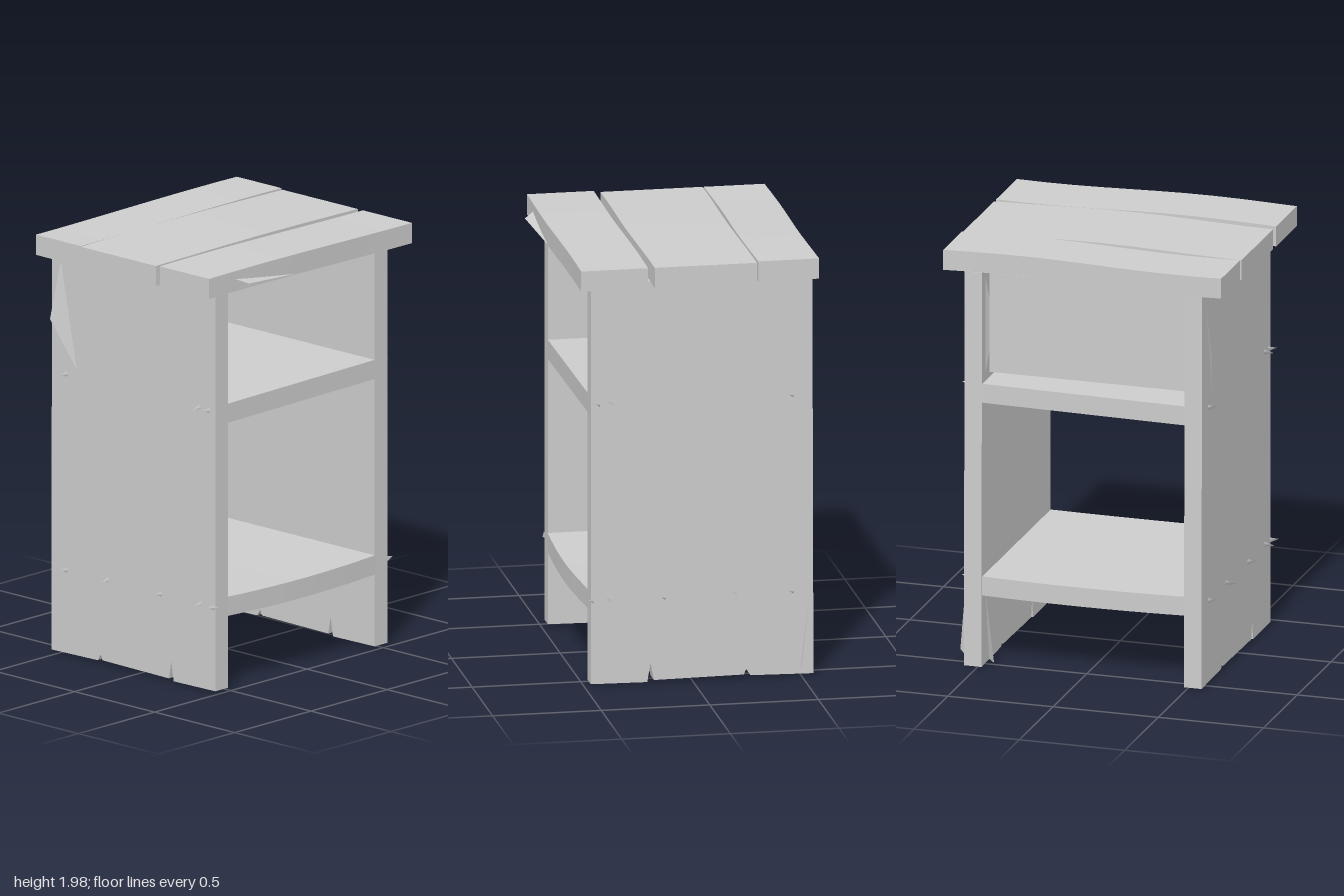
import * as THREE from 'three';

const wood = new THREE.MeshStandardMaterial({ color: 0xcccccc, side: THREE.DoubleSide });
wood.name = 'pale grey wood';

function add(parent, name, geometry) {
  const mesh = new THREE.Mesh(geometry, wood);
  mesh.name = name;
  parent.add(mesh);
  return mesh;
}

// Box given by its limits, with its faces gently moved by a rule
function board(parent, name, [x0, x1], [y0, y1], [z0, z1], warp) {
  const g = new THREE.BoxGeometry(x1 - x0, y1 - y0, z1 - z0, 10, 1, 4);
  g.translate((x0 + x1) / 2, (y0 + y1) / 2, (z0 + z1) / 2);
  if (warp) {
    const p = g.attributes.position, v = new THREE.Vector3();
    for (let i = 0; i < p.count; i++) {
      v.fromBufferAttribute(p, i);
      warp(v);
      p.setXYZ(i, v.x, v.y, v.z);
    }
    g.computeVertexNormals();
  }
  return add(parent, name, g);
}

// Thin three-cornered splinter
function splinter(parent, a, b, c) {
  const g = new THREE.BufferGeometry();
  g.setAttribute('position', new THREE.Float32BufferAttribute([...a, ...b, ...c], 3));
  g.computeVertexNormals();
  add(parent, 'splinter', g);
}

export function createModel() {
  const model = new THREE.Group();
  model.name = 'bedsideTable';

  // Tabletop of three uneven planks
  const top = new THREE.Group();
  top.name = 'tabletop';
  model.add(top);
  const planks = [
    ['backPlank', [-0.66, 0.66], [-0.565, -0.285], 0.3],
    ['middlePlank', [-0.665, 0.66], [-0.275, 0.195], 1.5],
    ['frontPlank', [-0.67, 0.66], [0.222, 0.53], 2.6],
  ];
  for (const [name, xs, zs, phase] of planks) {
    board(top, name, xs, [1.89, 1.985], zs, (v) => {
      v.y += 0.006 * Math.sin(v.x * 4 + phase);
      v.z += 0.006 * Math.sin(v.x * 5 + phase);
    });
  }

  // Side panels with a narrow split at the foot
  for (const [name, x] of [['rightSide', -0.565], ['leftSide', 0.48]]) {
    const s = new THREE.Shape();
    s.moveTo(-0.465, 0.015);
    s.lineTo(-0.205, 0.012);
    s.lineTo(-0.19, 0.1);
    s.lineTo(-0.175, 0.02);
    s.lineTo(0.24, 0.025);
    s.lineTo(0.25, 0.05);
    s.lineTo(0.27, 0.02);
    s.lineTo(0.56, 0.015);
    s.lineTo(0.555, 1.89);
    s.lineTo(-0.465, 1.89);
    s.closePath();
    const g = new THREE.ExtrudeGeometry(s, { depth: 0.083, bevelEnabled: false });
    g.rotateY(Math.PI / 2).translate(x, 0, 0);
    add(model, name, g);
  }

  // Shelves
  board(model, 'middleShelf', [-0.485, 0.485], [1.265, 1.355], [-0.55, 0.465], (v) => {
    v.y += 0.012 * v.x;
  });
  board(model, 'lowerShelf', [-0.485, 0.485], [0.35, 0.44], [-0.55, 0.465], (v) => {
    v.y += 0.03 * v.x * v.x - 0.004;
    if (v.z > 0.4) v.z += 0.015 * Math.cos(v.x * 3.1);
  });

  // Back panel, short of the shelf and of one side
  board(model, 'backPanel', [-0.485, 0.448], [1.42, 1.89], [-0.545, -0.52]);

  // Bent nail ends along the joints
  const nails = new THREE.Group();
  nails.name = 'nailEnds';
  model.add(nails);
  const rows = [[1.33, [0.43, 0.37, -0.46]], [0.41, [0.46, 0.38, 0.13, -0.2, -0.46]]];
  for (const [y, list] of rows) {
    list.forEach((z, i) => {
      for (const side of [-1, 1]) {
        const g = new THREE.ConeGeometry(0.016, 0.05 + 0.012 * (i % 2), 3);
        g.rotateZ(-side * (1.4 + 0.25 * (i % 2)));
        g.translate(side * 0.582, y, z);
        add(nails, 'nailEnd', g.toNonIndexed());
      }
    });
  }

  // Splinters lifting off the boards
  const chips = new THREE.Group();
  chips.name = 'splinters';
  model.add(chips);
  splinter(chips, [-0.5, 1.95, 0.53], [-0.46, 1.93, 0.575], [-0.02, 1.89, 0.525]);
  splinter(chips, [-0.42, 1.262, 0.2], [-0.3, 1.19, 0.1], [-0.11, 1.25, 0.0]);
  splinter(chips, [-0.565, 1.85, -0.5], [-0.605, 1.58, -0.53], [-0.565, 1.36, -0.4]);
  splinter(chips, [-0.482, 1.86, -0.4], [-0.43, 1.6, -0.15], [-0.482, 1.4, -0.2]);
  splinter(chips, [-0.482, 1.15, -0.2], [-0.432, 0.62, -0.02], [-0.482, 0.45, -0.1]);
  splinter(chips, [0.48, 0.35, -0.5], [0.43, 0.03, -0.53], [0.48, 0.02, -0.45]);
  splinter(chips, [0.563, 0.38, -0.54], [0.6, 0.07, -0.5], [0.563, 0.03, -0.5]);
  splinter(chips, [0.48, 1.85, -0.5], [0.455, 1.62, -0.45], [0.48, 1.4, -0.5]);

  return model;
}
